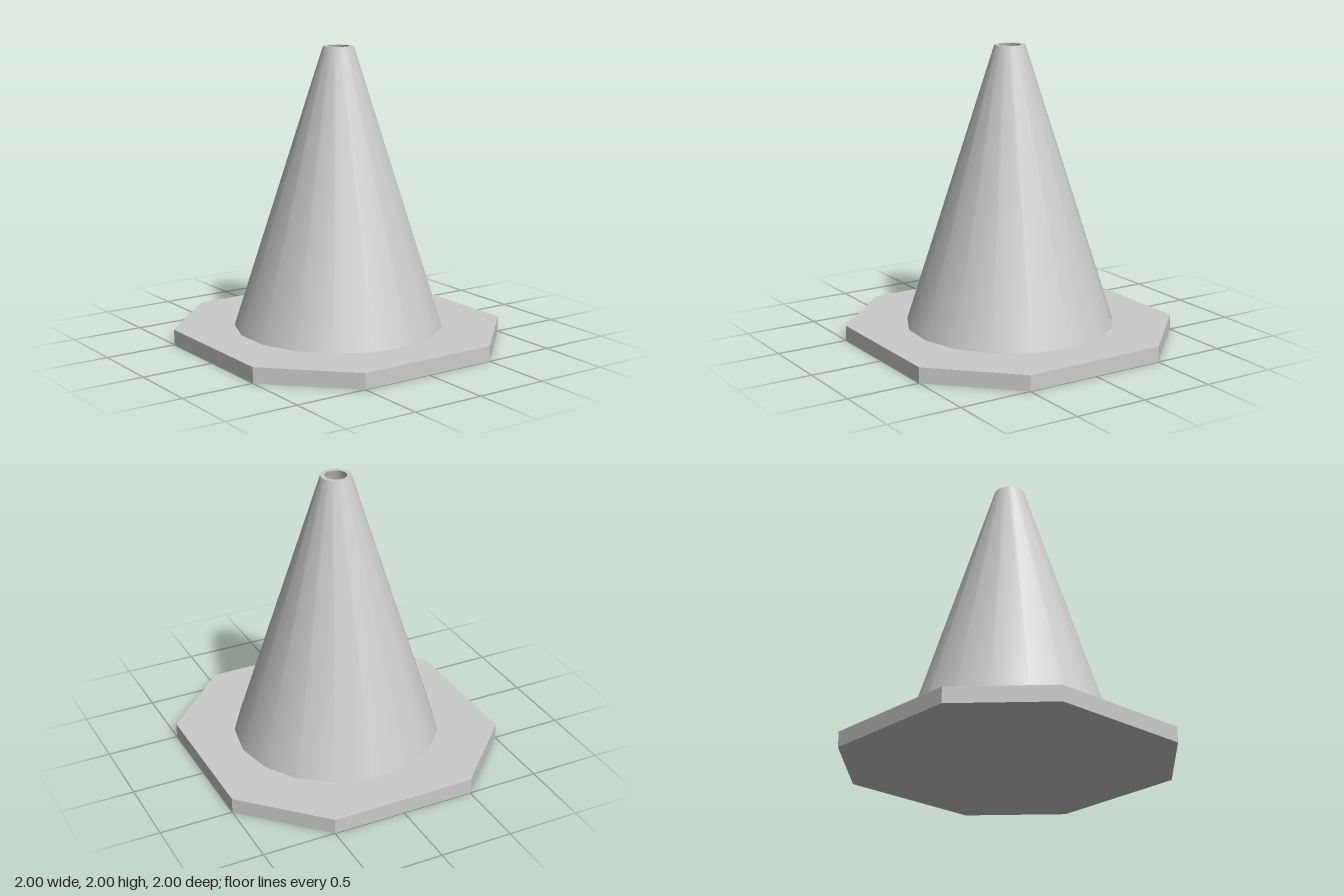
import * as THREE from 'three';

const material = new THREE.MeshStandardMaterial({ color: 0xcccccc, side: THREE.DoubleSide });
const SIDES = 17;
const BASE_TOP = 0.105;

// One conical band of the cone, from [radius, y] to [radius, y], with a corner on +x
function band(name, from, to) {
  const points = [new THREE.Vector2(...from), new THREE.Vector2(...to)];
  const mesh = new THREE.Mesh(new THREE.LatheGeometry(points, SIDES, Math.PI / 2), material);
  mesh.name = name;
  return mesh;
}

export function createModel() {
  const model = new THREE.Group();
  model.name = 'trafficCone';

  // Square base plate with cut corners
  const outline = [[1, 0.5], [0.5, 1], [-0.5, 1], [-1, 0.5], [-1, -0.5], [-0.5, -1], [0.5, -1], [1, -0.5]];
  const shape = new THREE.Shape(outline.map(([x, y]) => new THREE.Vector2(x, y)));
  const plate = new THREE.ExtrudeGeometry(shape, { depth: BASE_TOP, bevelEnabled: false });
  plate.rotateX(-Math.PI / 2);
  const base = new THREE.Mesh(plate, material);
  base.name = 'basePlate';
  model.add(base);

  // Hollow cone with an open tip; separate bands keep the rim edges sharp
  const cone = new THREE.Group();
  cone.name = 'cone';
  cone.add(
    band('outerWall', [0.708, BASE_TOP], [0.103, 2]),
    band('rim', [0.103, 2], [0.073, 2]),
    band('innerWall', [0.073, 2], [0.678, BASE_TOP]),
  );
  model.add(cone);

  return model;
}
